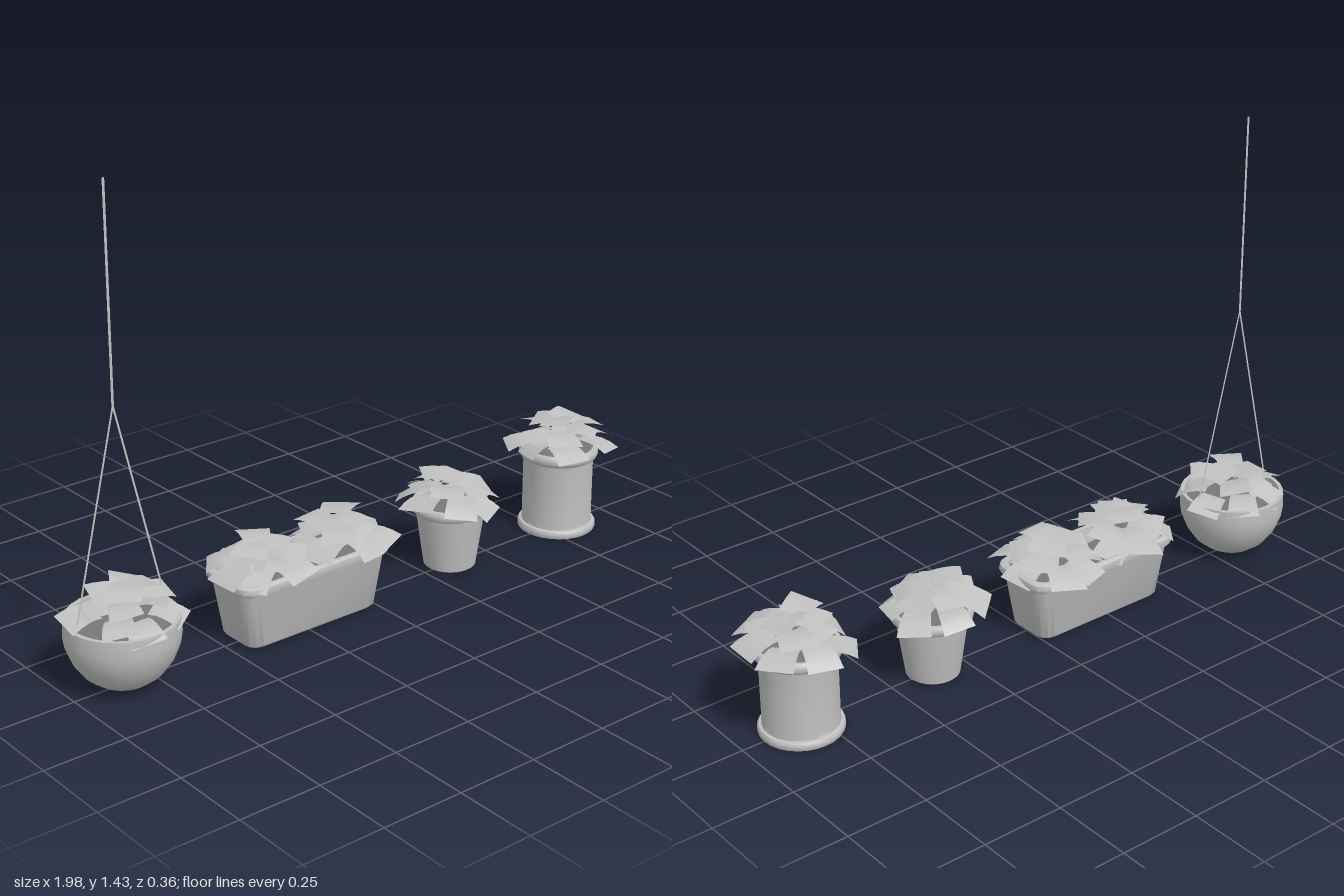
import * as THREE from 'three';
import { toCreasedNormals } from 'three/addons/utils/BufferGeometryUtils.js';

const grey = new THREE.MeshStandardMaterial({ color: 0xc0c0c0 });
grey.name = 'pot grey';
const leafGrey = new THREE.MeshStandardMaterial({ color: 0xc0c0c0, side: THREE.DoubleSide });
leafGrey.name = 'leaf and wire grey';
const soilGrey = new THREE.MeshStandardMaterial({ color: 0x787878 });
soilGrey.name = 'soil grey';

const CENTRE_Z = -0.005;

// small seeded generator, so the foliage is always the same
function seeded(seed) {
  let s = seed;
  return (range = 1) => {
    s = (s * 16807) % 2147483647;
    return (s / 2147483647 * 2 - 1) * range;
  };
}

function addMesh(parent, name, geometry, material) {
  const mesh = new THREE.Mesh(geometry, material);
  mesh.name = name;
  parent.add(mesh);
  return mesh;
}

// round pot: turned profile plus a disc of soil
function roundPot(name, profile, soilRadius, soilY) {
  const pot = new THREE.Group();
  pot.name = name;
  const points = profile.map(([r, y]) => new THREE.Vector2(r, y));
  addMesh(pot, 'potShell', toCreasedNormals(new THREE.LatheGeometry(points, 28), 0.7), grey);
  const soil = addMesh(pot, 'soil', new THREE.CircleGeometry(soilRadius, 28), soilGrey);
  soil.rotation.x = -Math.PI / 2;
  soil.position.y = soilY;
  return pot;
}

// loft through rounded rectangles: [half width, half depth, corner radius, height]
function roundedLoft(levels) {
  const positions = [], index = [], perCorner = 4, count = perCorner * 4;
  for (const [hx, hz, r, y] of levels) {
    for (let c = 0; c < 4; c++) {
      const sx = c === 0 || c === 3 ? 1 : -1, sz = c < 2 ? -1 : 1;
      for (let k = 0; k < perCorner; k++) {
        const a = (c + k / (perCorner - 1)) * Math.PI / 2;
        positions.push(sx * (hx - r) + r * Math.cos(a), y, sz * (hz - r) - r * Math.sin(a));
      }
    }
  }
  for (let l = 0; l < levels.length - 1; l++) {
    for (let i = 0; i < count; i++) {
      const j = (i + 1) % count, a = l * count, b = a + count;
      index.push(a + i, a + j, b + j, a + i, b + j, b + i);
    }
  }
  const geometry = new THREE.BufferGeometry();
  geometry.setAttribute('position', new THREE.Float32BufferAttribute(positions, 3));
  geometry.setIndex(index);
  return toCreasedNormals(geometry, 0.7);
}

// broad square leaf, arched along its length (+x is the tip)
function leafGeometry(length, width, droop) {
  const geometry = new THREE.PlaneGeometry(length, width, 4, 1).rotateX(-Math.PI / 2);
  const p = geometry.attributes.position;
  for (let i = 0; i < p.count; i++) {
    const t = p.getX(i) / length + 0.5;
    p.setY(i, 0.02 * t - droop * t * t);
    p.setZ(i, p.getZ(i) * (0.85 + 0.3 * t));
  }
  geometry.computeVertexNormals();
  return geometry;
}

// plant: three tiers of leaves, flatter towards the top
function plant(name, seed, spread, height) {
  const group = new THREE.Group();
  group.name = name;
  const random = seeded(seed);
  const tiers = [
    { count: 7, radius: 0.11, y: 0.03, droop: 0.045 },
    { count: 6, radius: 0.075, y: 0.06, droop: 0.03 },
    { count: 3, radius: 0.035, y: 0.088, droop: 0.022 },
  ];
  tiers.forEach((tier, t) => {
    for (let i = 0; i < tier.count; i++) {
      const angle = (i + 0.4 * t + random(0.2)) / tier.count * Math.PI * 2 + seed;
      const r = (tier.radius + random(0.01)) * spread;
      const size = 0.1 + random(0.012);
      const leaf = addMesh(group, 'leaf', leafGeometry(size, size * 0.92, tier.droop), leafGrey);
      leaf.position.set(r * Math.cos(angle), (tier.y + random(0.013)) * height, -r * Math.sin(angle));
      leaf.rotation.set(random(0.2), angle + random(0.35), random(0.15), 'YXZ');
    }
  });
  return group;
}

// flat strip of wire between two points in the xy plane
function wire(parent, name, x0, y0, x1, y1, width) {
  const strip = addMesh(parent, name,
    new THREE.PlaneGeometry(width, Math.hypot(x1 - x0, y1 - y0)), leafGrey);
  strip.position.set((x0 + x1) / 2, (y0 + y1) / 2, 0);
  strip.rotation.z = -Math.atan2(x1 - x0, y1 - y0);
}

export function createModel() {
  const model = new THREE.Group();
  model.name = 'planters';
  const place = (object, x, y = 0) => {
    object.position.set(x, y, CENTRE_Z);
    model.add(object);
  };

  // hanging bowl
  const bowl = roundPot('hangingBowl', [
    [0, 0], [0.04, 0.003], [0.08, 0.018], [0.115, 0.045], [0.143, 0.085],
    [0.159, 0.125], [0.164, 0.16], [0.162, 0.205], [0.15, 0.205], [0.148, 0.17],
  ], 0.15, 0.18);
  wire(bowl, 'hangingWire', 0, 0.815, 0, 1.43, 0.008);
  for (const side of [-1, 1]) wire(bowl, 'sideWire', side * 0.148, 0.19, 0, 0.815, 0.006);
  place(bowl, -0.835);

  // long window box
  const box = new THREE.Group();
  box.name = 'windowBox';
  addMesh(box, 'boxShell', roundedLoft([
    [0, 0, 0, 0], [0.225, 0.075, 0.035, 0], [0.233, 0.083, 0.04, 0.008],
    [0.258, 0.1, 0.045, 0.175], [0.268, 0.11, 0.05, 0.177], [0.273, 0.115, 0.052, 0.19],
    [0.27, 0.112, 0.05, 0.203], [0.262, 0.104, 0.046, 0.208], [0.25, 0.092, 0.04, 0.206],
    [0.248, 0.09, 0.04, 0.18],
  ]), grey);
  addMesh(box, 'soil', roundedLoft([[0.25, 0.092, 0.04, 0.19], [0, 0, 0, 0.19]]), soilGrey);
  place(box, -0.227);

  // small tapered pot
  place(roundPot('taperedPot', [
    [0, 0], [0.072, 0], [0.08, 0.006], [0.105, 0.18], [0.114, 0.182], [0.12, 0.19],
    [0.12, 0.203], [0.115, 0.212], [0.106, 0.214], [0.098, 0.208], [0.096, 0.18],
  ], 0.098, 0.19), 0.355);

  // straight pot with a foot ring and a rolled rim
  place(roundPot('footedPot', [
    [0, 0], [0.121, 0], [0.123, 0.004], [0.123, 0.017], [0.119, 0.023], [0.111, 0.025],
    [0.11, 0.04], [0.11, 0.22], [0.112, 0.238], [0.12, 0.243], [0.125, 0.253],
    [0.124, 0.266], [0.118, 0.274], [0.108, 0.274], [0.104, 0.25],
  ], 0.106, 0.26), 0.81);

  // foliage: name, seed, x, y, spread, height
  [
    ['bowlPlant', 11, -0.825, 0.195, 1.08, 1.0],
    ['boxPlantRight', 23, -0.365, 0.195, 0.95, 1.0],
    ['boxPlantLeft', 37, -0.085, 0.195, 0.95, 1.0],
    ['taperedPotPlant', 41, 0.35, 0.2, 0.92, 1.08],
    ['footedPotPlant', 59, 0.815, 0.265, 1.03, 1.05],
  ].forEach(([name, seed, x, y, spread, height]) => place(plant(name, seed, spread, height), x, y));

  return model;
}
